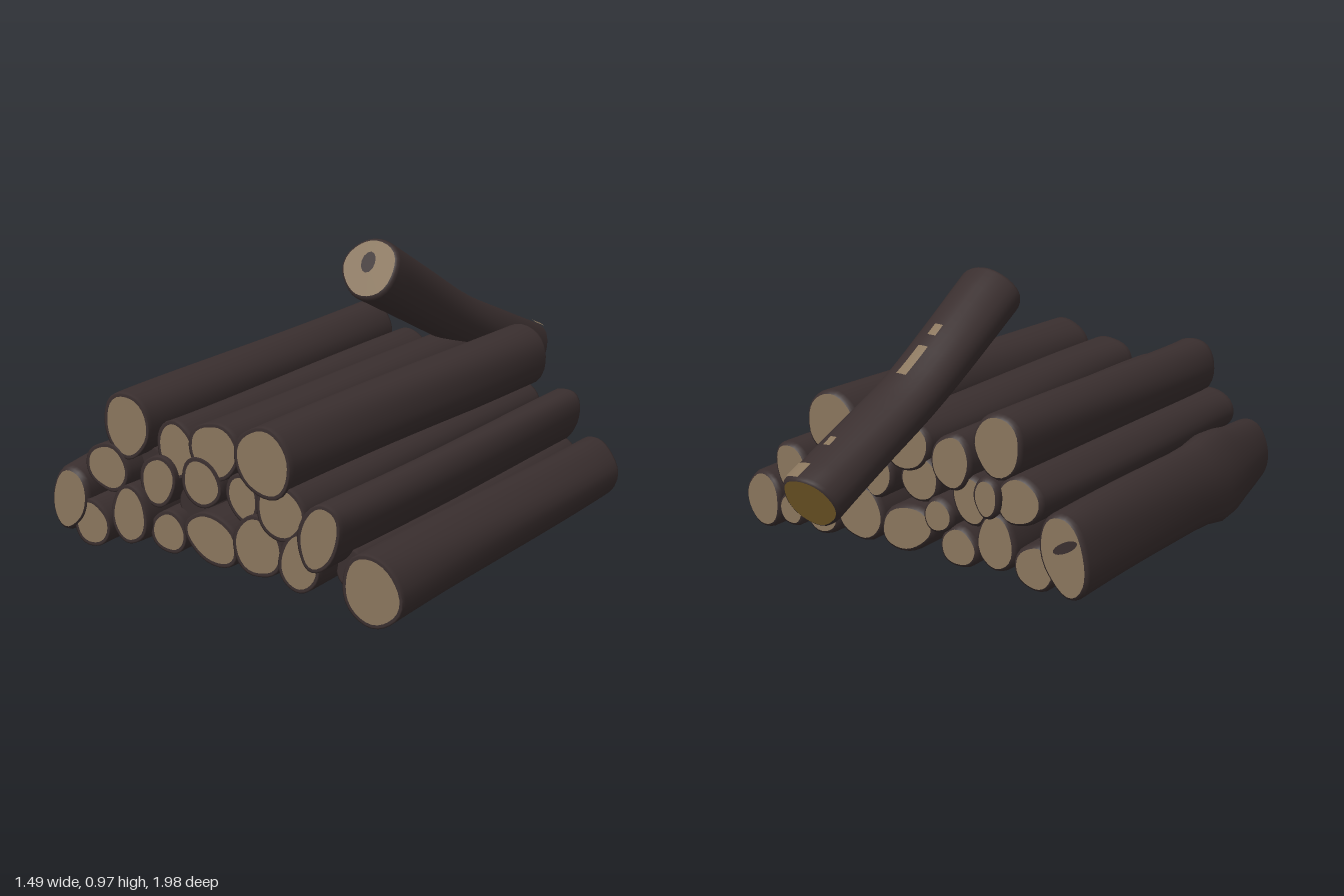
import * as THREE from 'three';

const SEG = 28, ROWS = 14;

const mat = (name, color) => {
  const m = new THREE.MeshStandardMaterial({ color });
  m.name = name;
  return m;
};

function geometry(points, index) {
  const g = new THREE.BufferGeometry();
  g.setAttribute('position', new THREE.Float32BufferAttribute(points.flatMap(p => [p.x, p.y, p.z]), 3));
  g.setIndex(index);
  g.computeVertexNormals();
  return g;
}

// Returns surface(t, angle, grow): t runs from the front cut to the back cut.
// keys: [x, y, z, rx, ry] along the log
function logSurface(keys, { roll = 0, tilt = 0, slant = 0, seed = 0 }) {
  const path = new THREE.CatmullRomCurve3(keys.map(k => new THREE.Vector3(k[0], k[1], k[2])));
  const size = new THREE.CatmullRomCurve3(keys.map(k => new THREE.Vector3(k[3], k[4], 0)));
  return (t, a, grow = 0) => {
    const c = path.getPoint(t), r = size.getPoint(t);
    const wobble = 1 + 0.025 * Math.sin(2 * a + seed * 1.7) + 0.03 * Math.sin(3 * a + seed * 2.3)
      + 0.012 * Math.sin(5 * a + seed + t * 5);
    const bend = 0.004 * Math.sin(t * 7 + seed * 3);
    const ex = (r.x + grow) * wobble * Math.cos(a), ey = (r.y + grow) * wobble * Math.sin(a);
    const u = ex * Math.cos(roll) - ey * Math.sin(roll), v = ex * Math.sin(roll) + ey * Math.cos(roll);
    return new THREE.Vector3(c.x + u + bend, c.y + v * Math.cos(tilt), c.z - v * Math.sin(tilt) + slant * u * t);
  };
}

function barkGeometry(surface) {
  const ts = [0, 0.004];
  for (let i = 0; i <= ROWS; i++) ts.push(0.014 + 0.972 * i / ROWS);
  ts.push(0.996, 1);
  const points = [], index = [];
  ts.forEach((t, s) => {
    // ends round over towards the cut
    const end = Math.min(t, 1 - t);
    const grow = end < 0.001 ? 0 : end < 0.01 ? 0.008 : 0.013;
    for (let j = 0; j < SEG; j++) {
      points.push(surface(t, j / SEG * Math.PI * 2, grow));
      if (s === ts.length - 1) continue;
      const a = s * SEG + j, b = s * SEG + (j + 1) % SEG;
      index.push(a, a + SEG, b, b, a + SEG, b + SEG);
    }
  });
  return geometry(points, index);
}

function cutGeometry(surface, t) {
  const points = [], index = [], centre = new THREE.Vector3();
  for (let j = 0; j < SEG; j++) {
    const p = surface(t, j / SEG * Math.PI * 2);
    points.push(p);
    centre.addScaledVector(p, 1 / SEG);
    const k = (j + 1) % SEG;
    index.push(SEG, t ? k : j, t ? j : k);
  }
  return geometry([...points, centre], index);
}

// Thin patch of bare wood lying on the bark
function chipGeometry(surface, t0, t1, a0, a1) {
  const points = [], index = [], n = 4;
  for (let i = 0; i <= n; i++) for (let j = 0; j <= n; j++) {
    points.push(surface(t0 + (t1 - t0) * i / n, a0 + (a1 - a0) * j / n, 0.018));
    if (i === n || j === n) continue;
    const a = i * (n + 1) + j, b = a + n + 1;
    index.push(a, b, a + 1, a + 1, b, b + 1);
  }
  return geometry(points, index);
}

export function createModel() {
  const bark = mat('bark', 0x3a2f2f), wood = mat('cutWood', 0x8a765d), ochre = mat('ochreWood', 0x86692f);
  const model = new THREE.Group();
  model.name = 'logPile';

  const add = (parent, name, geo, material) => {
    const mesh = new THREE.Mesh(geo, material);
    mesh.name = name;
    parent.add(mesh);
    return mesh;
  };
  const addLog = (name, keys, options = {}) => {
    const group = new THREE.Group(), surface = logSurface(keys, options);
    group.name = name;
    model.add(group);
    add(group, 'bark', barkGeometry(surface), bark);
    add(group, 'frontCut', cutGeometry(surface, 0), options.front || wood);
    add(group, 'backCut', cutGeometry(surface, 1), options.back || wood);
    return { group, surface };
  };

  // Stacked logs: front x, y, rx, ry, front z, back z, roll, then back x, y, rx, ry if different
  const stack = [
    [-0.525, 0.09, 0.067, 0.072, 0.98, -0.47, 0.2],
    [-0.46, 0.295, 0.08, 0.07, 0.96, -0.455, 0.1, -0.455, 0.3, 0.078, 0.075],
    [-0.375, 0.455, 0.087, 0.098, 0.955, -0.455, 0, -0.37, 0.475, 0.085, 0.1],
    [-0.37, 0.145, 0.064, 0.092, 0.96, -0.46, 0],
    [-0.27, 0.275, 0.06, 0.08, 0.93, -0.46, -0.4],
    [-0.2, 0.39, 0.068, 0.085, 0.91, -0.475, 0, -0.2, 0.4, 0.07, 0.085],
    [-0.23, 0.105, 0.065, 0.06, 0.93, -0.47, 0],
    [-0.01, 0.432, 0.088, 0.085, 0.945, -0.47, 0],
    [-0.07, 0.315, 0.068, 0.072, 0.95, -0.46, 0],
    [-0.015, 0.135, 0.102, 0.07, 0.96, -0.47, -0.3],
    [0.1, 0.3, 0.052, 0.068, 0.95, -0.47, 0.3],
    [0.18, 0.155, 0.085, 0.092, 0.97, -0.47, 0],
    [0.215, 0.45, 0.098, 0.103, 0.99, -0.495, 0, 0.275, 0.47, 0.095, 0.1],
    [0.28, 0.295, 0.085, 0.078, 0.98, -0.47, 0],
    [0.345, 0.145, 0.066, 0.092, 0.98, -0.47, -0.15],
    [0.43, 0.245, 0.062, 0.108, 0.985, -0.495, -0.35, 0.455, 0.265, 0.06, 0.1],
  ];
  stack.forEach(([x, y, rx, ry, z0, z1, roll, bx = x, by = y, brx = rx, bry = ry], i) => {
    addLog('stackedLog' + (i + 1), [[x, y, z0, rx, ry], [bx, by, z1, brx, bry]], { roll, seed: i + 1 });
  });

  // Thin recessed branches in the gaps
  [[0.475, 0.12, 0.045, 0.055], [-0.155, 0.205, 0.05, 0.05], [-0.34, 0.3, 0.04, 0.06]].forEach(([x, y, rx, ry], i) => {
    addLog('gapBranch' + (i + 1), [[x, y, 0.88, rx, ry], [x, y, -0.48, rx, ry]], { seed: i + 20, front: bark });
  });

  // Thick outer log on the model's right, tapering at its front
  const body = z => [-0.64, 0.155, z, 0.078, 0.132];
  const outer = addLog('outerRightLog',
    [[-0.62, 0.16, 0.985, 0.07, 0.102], body(0.7), body(0.4), body(0.1), body(-0.2), body(-0.48)], { roll: -0.25, seed: 3 });
  add(outer.group, 'barkChip', chipGeometry(outer.surface, 0.05, 0.11, 1.0, 1.25), ochre);
  const split = add(outer.group, 'endSplit', new THREE.CircleGeometry(0.05, 16), bark);
  split.scale.set(1, 0.35, 1);
  split.rotation.set(0, Math.PI, 0.5);
  split.position.set(-0.65, 0.19, -0.484);

  // Separate log on the model's left, cut at a slant behind
  addLog('outerLeftLog', [[0.625, 0.117, 0.99, 0.098, 0.105], [0.63, 0.117, -0.44, 0.088, 0.095]], { slant: 0.3, seed: 9 });

  // Log leaning on top of the stack
  const tilt = 0.52;
  const leaning = addLog('leaningLog', [
    [-0.015, 0.864, 0.082, 0.102, 0.104],
    [-0.008, 0.722, -0.18, 0.1, 0.095],
    [0.002, 0.578, -0.44, 0.1, 0.085],
    [0.012, 0.462, -0.69, 0.098, 0.09],
    [0.025, 0.347, -0.94, 0.094, 0.1],
  ], { tilt, seed: 5, back: ochre });
  const up = Math.PI / 2;
  [[0.36, 0.48, up - 0.16, up + 0.16], [0.27, 0.315, up - 0.14, up + 0.14],
    [0.8, 0.84, up - 0.28, up - 0.06], [0.93, 0.995, 1.0, 1.5]].forEach((c, i) => {
    add(leaning.group, 'bareChip' + (i + 1), chipGeometry(leaning.surface, ...c), wood);
  });
  const knot = add(leaning.group, 'heartwood', new THREE.CircleGeometry(0.03, 12), bark);
  knot.scale.set(0.95, 1.3, 1);
  knot.rotation.x = -tilt;
  knot.position.set(-0.018, 0.88 + 0.003, 0.0785);

  return model;
}
